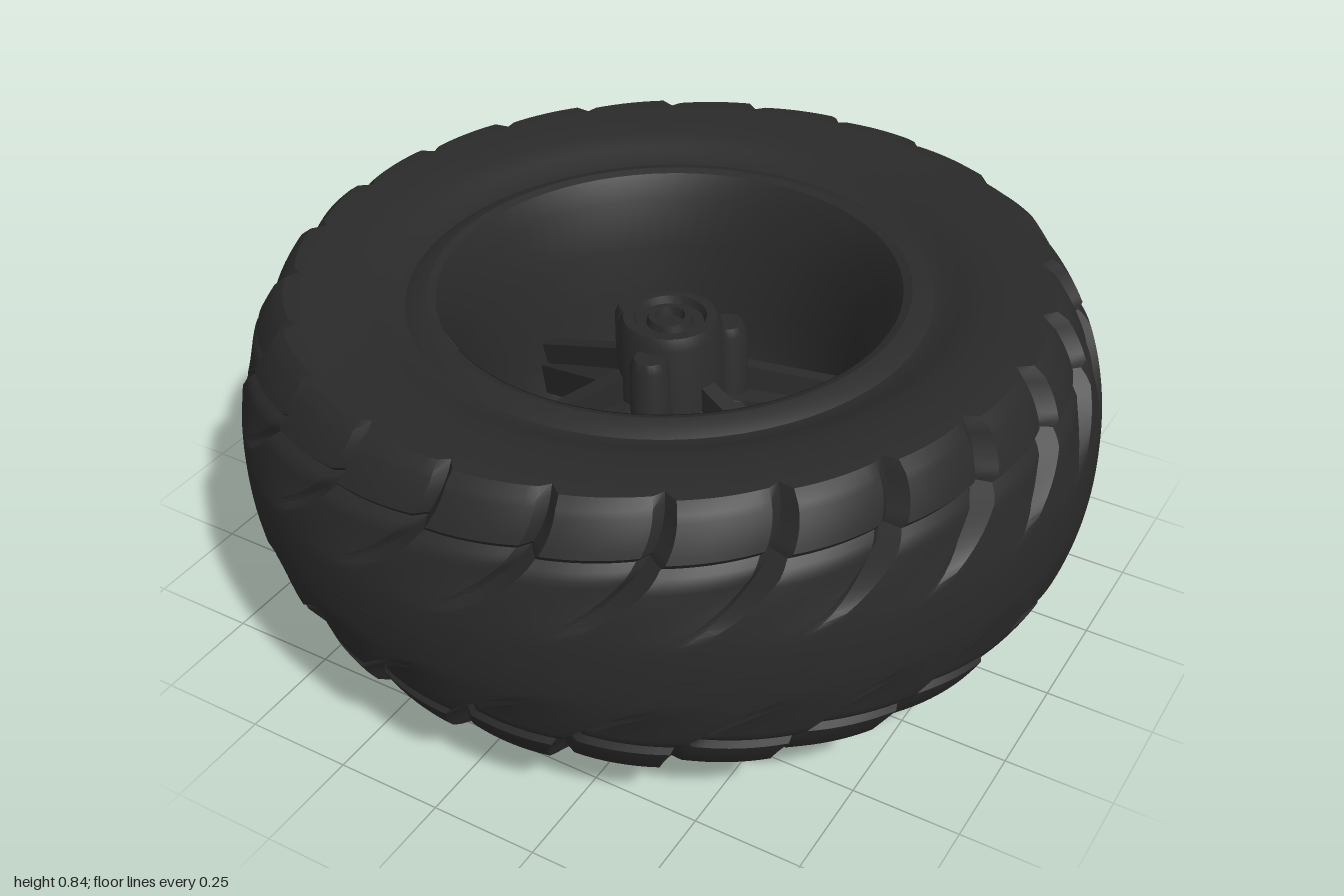
import * as THREE from 'three';
import { toCreasedNormals } from 'three/addons/utils/BufferGeometryUtils.js';

const rubber = new THREE.MeshStandardMaterial({ color: 0x2a2a2a, side: THREE.DoubleSide });
const metal = new THREE.MeshStandardMaterial({ color: 0x2a2a2a, side: THREE.DoubleSide });
const TAU = Math.PI * 2, LUGS = 24, COLS = 10;
const rad = THREE.MathUtils.degToRad;
const smooth = THREE.MathUtils.smoothstep;
const corners = [200, 320, 80].map(rad); // three-fold layout of hub and cover

function add(parent, name, geometry, material = metal) {
  const mesh = new THREE.Mesh(geometry, material);
  mesh.name = name;
  parent.add(mesh);
  return mesh;
}

function lathe(points, segments = 72) {
  const curve = points.map(([r, y]) => new THREE.Vector2(r, y));
  return toCreasedNormals(new THREE.LatheGeometry(curve, segments), 0.6);
}

// Polar outline [angle, radius] as a Shape or Path
function polar(points, Type = THREE.Shape) {
  return new Type(points.map(([a, r]) => new THREE.Vector2(r * Math.cos(a), r * Math.sin(a))));
}

// Moves each vertex in y by a rule of its distance from the axle
function bend(geometry, rule) {
  const p = geometry.attributes.position;
  for (let i = 0; i < p.count; i++) {
    p.setY(i, p.getY(i) + rule(Math.hypot(p.getX(i), p.getZ(i))));
  }
  geometry.computeVertexNormals();
  return geometry;
}

// Upper half of the tread: swept lugs cut into a rounded band
function halfTread() {
  const rows = [];
  for (let i = 0; i <= 24; i++) {
    const a = i / 24;
    const gap = Math.max(0, 1 - Math.abs(a - 0.7) / 0.05);
    rows.push({
      r: 0.995 - 0.1 * Math.pow(a, 2.3), y: 0.33 * a, a,
      cut: 0.045 * smooth(a, 0.22, 0.6), gap: 0.018 * gap,
    });
  }
  rows.push({ r: 0.87, y: 0.348, a: 1, cut: 0.03, gap: 0 }, { r: 0.83, y: 0.348, a: 1, cut: 0, gap: 0 });
  const n = LUGS * COLS, pos = [], index = [];
  rows.forEach((row, i) => {
    for (let j = 0; j <= n; j++) {
      const s = j % COLS;
      const lug = s === 0 ? 0 : 1 - 0.5 * (s / (COLS - 1)) ** 2;
      const t = (j / n) * TAU - 0.42 * (1 - row.a) ** 2;
      const r = row.r - row.cut * (1 - lug) - row.gap;
      pos.push(r * Math.sin(t), row.y, r * Math.cos(t));
      if (i && j) {
        const d = i * (n + 1) + j, c = d - 1, b = d - n - 1, a = b - 1;
        index.push(a, b, d, a, d, c);
      }
    }
  });
  const g = new THREE.BufferGeometry();
  g.setAttribute('position', new THREE.Float32BufferAttribute(pos, 3));
  g.setIndex(index);
  return toCreasedNormals(g, 0.5);
}

function buildTire() {
  const tire = new THREE.Group();
  tire.name = 'tire';
  const tread = halfTread();
  const wall = lathe([[0.84, 0.348], [0.78, 0.347], [0.71, 0.338], [0.66, 0.322], [0.625, 0.302],
    [0.6, 0.298], [0.575, 0.312], [0.55, 0.318], [0.53, 0.31], [0.52, 0.28]]);
  for (const turn of [0, Math.PI]) {
    add(tire, 'treadHalf', tread, rubber).rotation.z = turn;
    add(tire, 'sidewall', wall, rubber).rotation.z = turn;
  }
  return tire;
}

function buildRim() {
  const rim = new THREE.Group();
  rim.name = 'rim';
  // Deep inner bowl and domed outer cover
  add(rim, 'bowl', lathe([[0, -0.33], [0.22, -0.32], [0.34, -0.28], [0.41, -0.2], [0.435, -0.1],
    [0.445, 0], [0.47, 0.14], [0.5, 0.26], [0.53, 0.312]]));
  add(rim, 'domeCover', lathe([[0, -0.452], [0.2, -0.445], [0.38, -0.428], [0.48, -0.41],
    [0.56, -0.385], [0.575, -0.365], [0.575, -0.335], [0.54, -0.3]]));

  // Six-pointed spoke star sloping down from the hub
  const outline = [];
  for (let k = 0; k < 6; k++) {
    const a = rad(15 + 60 * k);
    outline.push([a - 0.07, 0.45], [a + 0.07, 0.45], [a + rad(30), 0.17]);
  }
  const star = polar(outline);
  star.holes.push(new THREE.Path().absarc(0, 0, 0.09, 0, TAU, true));
  const starGeo = new THREE.ExtrudeGeometry(star, { depth: 0.08, bevelEnabled: false });
  starGeo.rotateX(Math.PI / 2);
  add(rim, 'spokeStar', bend(starGeo, r => 0.04 - 0.4 * Math.max(0, r - 0.1)));
  for (let k = 0; k < 6; k++) {
    const pivot = new THREE.Group();
    pivot.name = 'spokeRib';
    pivot.rotation.y = -rad(15 + 60 * k);
    const rib = add(pivot, 'rib', new THREE.BoxGeometry(0.35, 0.09, 0.04));
    rib.position.set(0.265, -0.02, 0);
    rib.rotation.z = -0.38;
    rim.add(pivot);
  }
  return rim;
}

function buildHub() {
  const hub = new THREE.Group();
  hub.name = 'hub';
  add(hub, 'hubColumn', lathe([[0.13, -0.33], [0.12, 0.2], [0.108, 0.225], [0.085, 0.225],
    [0.078, 0.208], [0.055, 0.208], [0.05, 0.225], [0.035, 0.225], [0.03, 0.205], [0, 0.205]], 48));
  for (const a of corners) {
    const lobe = add(hub, 'hubLobe', lathe([[0.05, -0.32], [0.045, 0.17], [0.035, 0.19], [0, 0.19]], 24));
    lobe.position.set(0.135 * Math.cos(a), 0, 0.135 * Math.sin(a));
  }
  return hub;
}

function buildCover() {
  const cover = new THREE.Group();
  cover.name = 'outerCover';
  // Raised blunt-cornered triangular frame
  const outer = [], inner = [];
  for (const a of [corners[2], corners[0], corners[1]]) {
    outer.push([a - 0.22, 0.42], [a + 0.22, 0.42], [a + Math.PI / 3, 0.255]);
    inner.push([a - 0.16, 0.31], [a + 0.16, 0.31], [a + Math.PI / 3, 0.175]);
  }
  const shape = polar(outer);
  shape.holes.push(polar(inner.reverse(), THREE.Path));
  const frame = new THREE.ExtrudeGeometry(shape, {
    depth: 0.03, bevelThickness: 0.015, bevelSize: 0.015, bevelOffset: -0.015, bevelSegments: 2,
  });
  frame.rotateX(Math.PI / 2);
  add(cover, 'triangleFrame', bend(frame, r => 0.12 * Math.max(0, r - 0.2))).position.y = -0.431;

  // Wheel bolts inside the frame
  for (const a of corners) {
    const bolt = add(cover, 'bolt', lathe([[0, -0.452], [0.018, -0.452], [0.02, -0.464],
      [0.03, -0.464], [0.036, -0.455], [0.036, -0.43]], 20));
    bolt.position.set(0.165 * Math.cos(a), 0, 0.165 * Math.sin(a));
  }
  return cover;
}

export function createModel() {
  const model = new THREE.Group();
  model.name = 'wheel';
  const wheel = new THREE.Group();
  wheel.name = 'wheelBody';
  wheel.add(buildTire(), buildRim(), buildHub(), buildCover());
  wheel.position.y = 0.482;
  wheel.rotation.z = 0.02; // slight lean
  model.add(wheel);
  return model;
}
